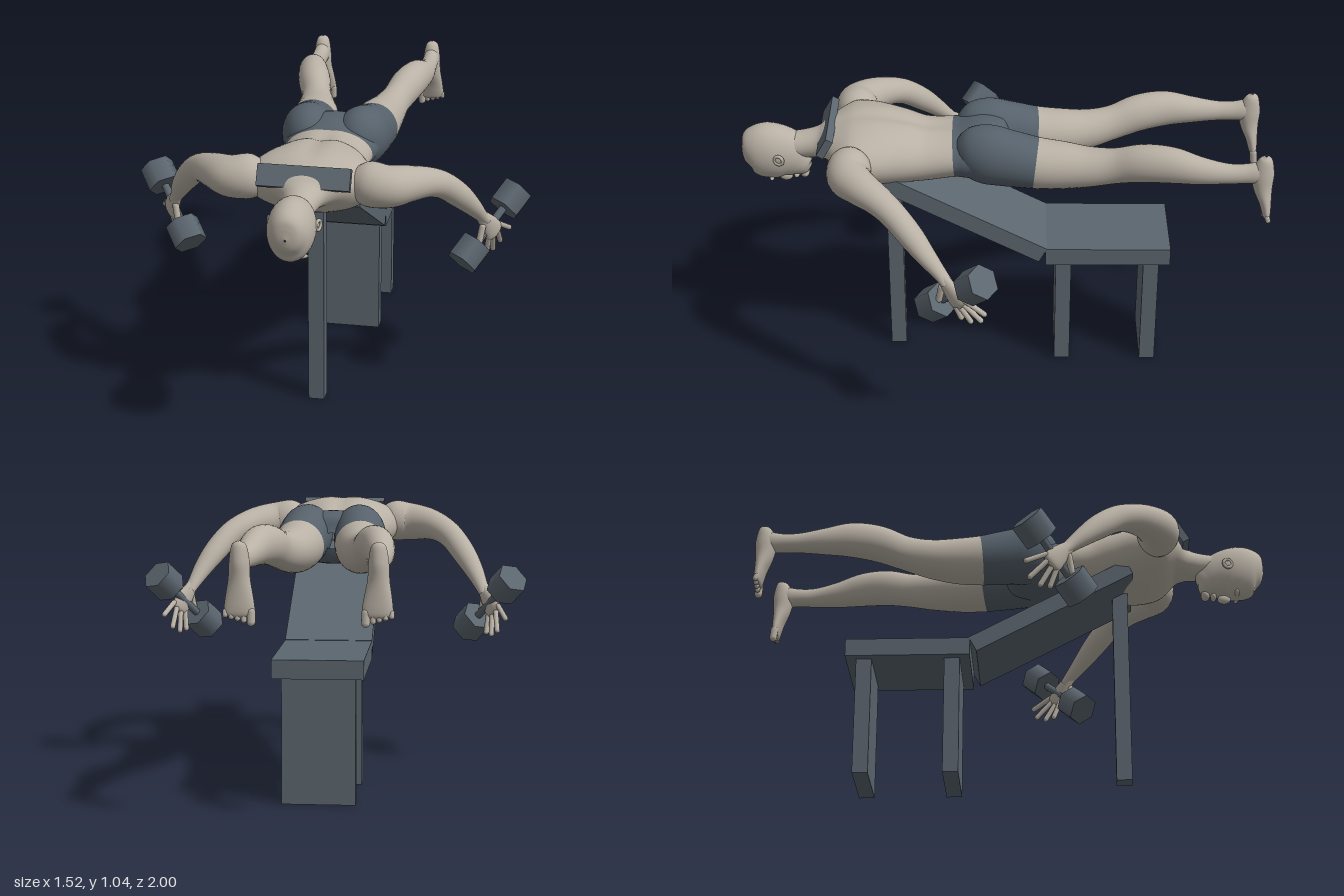
import * as THREE from 'three';

const skin = new THREE.MeshStandardMaterial({ name: 'skin', color: 0xb9b1a5 });
const shorts = new THREE.MeshStandardMaterial({ name: 'shortsCloth', color: 0x56616b });
const steel = new THREE.MeshStandardMaterial({ name: 'benchGrey', color: 0x5c666f });
const V = (x, y, z) => new THREE.Vector3(x, y, z);
const UP = V(0, 1, 0);

// Smooth loft through stations [x, y, z, halfWidth, halfHeight].
// split: station where the colour changes from mats[0] to mats[1].
function loft(name, stations, { up = UP, mats = [skin], split = 0, n = 32, sub = 5, side = 1 } = {}) {
  const path = new THREE.CatmullRomCurve3(stations.map(s => V(s[0] * side, s[1], s[2])), false, 'catmullrom', 0.5);
  const size = new THREE.CatmullRomCurve3(stations.map(s => V(s[3], s[4], 0)), false, 'catmullrom', 0.5);
  const rows = (stations.length - 1) * sub;
  const pos = [], idx = [];
  for (let i = 0; i <= rows; i++) {
    const c = path.getPoint(i / rows), r = size.getPoint(i / rows), t = path.getTangent(i / rows);
    const s = up.clone().cross(t).normalize(), u = t.clone().cross(s);
    for (let j = 0; j < n; j++) {
      const a = (j / n) * Math.PI * 2;
      const p = c.clone().addScaledVector(s, r.x * Math.cos(a)).addScaledVector(u, r.y * Math.sin(a));
      pos.push(p.x, p.y, p.z);
      if (i < rows) {
        const k = (j + 1) % n, A = i * n + j, B = i * n + k;
        idx.push(A, B, A + n, B, B + n, A + n);
      }
    }
  }
  const g = new THREE.BufferGeometry();
  g.setAttribute('position', new THREE.Float32BufferAttribute(pos, 3));
  g.setIndex(idx);
  if (split) {
    const cut = split * sub * n * 6;
    g.addGroup(0, cut, 0);
    g.addGroup(cut, idx.length - cut, 1);
  }
  g.computeVertexNormals();
  const m = new THREE.Mesh(g, split ? mats : mats[0]);
  m.name = name;
  return m;
}

function add(parent, name, geo, mat, x, y, z) {
  const m = new THREE.Mesh(geo, mat);
  m.name = name;
  m.position.set(x, y, z);
  parent.add(m);
  return m;
}

// Place a y-aligned geometry between two points
function between(parent, name, geo, mat, a, b) {
  const m = add(parent, name, geo, mat, (a.x + b.x) / 2, (a.y + b.y) / 2, (a.z + b.z) / 2);
  m.quaternion.setFromUnitVectors(UP, b.clone().sub(a).normalize());
  return m;
}
const rod = (parent, name, a, b, r) =>
  between(parent, name, new THREE.CapsuleGeometry(r, a.distanceTo(b), 4, 10), skin, a, b);

function blob(parent, name, x, y, z, rx, ry, rz) {
  add(parent, name, new THREE.SphereGeometry(1, 20, 14), skin, x, y, z).scale.set(rx, ry, rz);
}

function makeBench() {
  const g = new THREE.Group();
  g.name = 'bench';
  const box = (name, w, h, d, x, y, z) => add(g, name, new THREE.BoxGeometry(w, h, d), steel, x, y, z);
  box('seat', 0.334, 0.07, 0.48, 0, 0.505, -0.4);
  for (const z of [-0.23, -0.57]) box('seatLeg', 0.27, 0.47, 0.06, 0, 0.235, z);
  box('frontPost', 0.06, 0.82, 0.06, 0, 0.41, 0.425);
  box('inclinedBoard', 0.334, 0.066, 0.69, 0, 0.675, 0.155).rotation.x = -0.49;
  box('neckPlate', 0.334, 0.08, 0.03, 0, 0.985, 0.668).rotation.x = -0.52;
  return g;
}

function makeTorso() {
  const m = loft('torso', [
    [0, 0.91, -0.03, 0.04, 0.03], [0, 0.91, 0, 0.15, 0.085], [0, 0.915, 0.07, 0.192, 0.105],
    [0, 0.907, 0.14, 0.178, 0.098], [0, 0.904, 0.19, 0.166, 0.094], [0, 0.897, 0.3, 0.165, 0.107],
    [0, 0.908, 0.4, 0.195, 0.123], [0, 0.921, 0.5, 0.23, 0.124], [0, 0.932, 0.58, 0.235, 0.108],
    [0, 0.935, 0.64, 0.165, 0.078], [0, 0.925, 0.69, 0.088, 0.058], [0, 0.917, 0.74, 0.064, 0.053],
    [0, 0.91, 0.81, 0.055, 0.05],
  ], { mats: [shorts, skin], split: 4, n: 64 });
  // Spine groove
  const p = m.geometry.attributes.position;
  for (let i = 0; i < p.count; i++) {
    const x = p.getX(i), z = p.getZ(i);
    if (p.getY(i) > 0.95 && z > 0.15 && z < 0.64)
      p.setY(i, p.getY(i) - 0.014 * Math.exp(-((x / 0.035) ** 2)) * Math.sin(Math.PI * (z - 0.15) / 0.49));
  }
  m.geometry.computeVertexNormals();
  return m;
}

function makeHead() {
  const g = new THREE.Group();
  g.name = 'head';
  g.add(loft('skull', [
    [0, 0.885, 1.0, 0.003, 0.003], [0, 0.886, 0.99, 0.042, 0.052], [0, 0.89, 0.96, 0.069, 0.092],
    [0, 0.888, 0.92, 0.081, 0.111], [0, 0.881, 0.87, 0.083, 0.111], [0, 0.868, 0.82, 0.074, 0.099],
    [0, 0.845, 0.78, 0.06, 0.074], [0, 0.825, 0.753, 0.043, 0.045], [0, 0.82, 0.738, 0.004, 0.004],
  ]));
  blob(g, 'nose', 0, 0.772, 0.838, 0.014, 0.02, 0.026);
  blob(g, 'lips', 0, 0.781, 0.797, 0.024, 0.014, 0.012);
  blob(g, 'chin', 0, 0.79, 0.765, 0.026, 0.022, 0.018);
  for (const s of [1, -1]) {
    blob(g, 'brow', s * 0.03, 0.785, 0.888, 0.027, 0.011, 0.01);
    const ear = add(g, 'ear', new THREE.TorusGeometry(0.019, 0.007, 8, 20), skin, s * 0.086, 0.888, 0.852);
    ear.rotation.y = s * 1.25;
    ear.scale.set(0.9, 0.9, 1);
    blob(g, 'innerEar', s * 0.082, 0.888, 0.85, 0.007, 0.016, 0.018);
  }
  return g;
}

function makeLeg(side) {
  const g = new THREE.Group();
  g.name = side > 0 ? 'leftLeg' : 'rightLeg';
  g.add(loft('leg', [
    [0.085, 0.915, 0.185, 0.02, 0.02], [0.092, 0.924, 0.14, 0.075, 0.093], [0.102, 0.928, 0.07, 0.1, 0.116],
    [0.111, 0.915, -0.02, 0.1, 0.109], [0.118, 0.9, -0.12, 0.098, 0.098], [0.126, 0.895, -0.22, 0.09, 0.09],
    [0.142, 0.898, -0.32, 0.075, 0.077], [0.163, 0.915, -0.42, 0.06, 0.069], [0.19, 0.942, -0.52, 0.065, 0.073],
    [0.214, 0.948, -0.62, 0.06, 0.07], [0.23, 0.935, -0.72, 0.049, 0.054], [0.237, 0.926, -0.82, 0.036, 0.04],
    [0.237, 0.926, -0.89, 0.033, 0.038], [0.237, 0.93, -0.95, 0.03, 0.042], [0.237, 0.932, -0.98, 0.008, 0.015],
  ], { mats: [shorts, skin], split: 4, side }));
  g.add(loft('foot', [
    [0.237, 1.0, -0.965, 0.004, 0.004], [0.237, 0.985, -0.965, 0.025, 0.025], [0.237, 0.93, -0.957, 0.035, 0.042],
    [0.237, 0.87, -0.96, 0.038, 0.036], [0.236, 0.81, -0.972, 0.048, 0.024], [0.235, 0.77, -0.978, 0.053, 0.018],
    [0.235, 0.748, -0.98, 0.049, 0.013], [0.235, 0.738, -0.98, 0.01, 0.004],
  ], { up: V(0, 0, 1), side }));
  // Big toe on the inside
  for (let i = 0; i < 5; i++) {
    const x = side * (0.195 + i * 0.021 + (i ? 0.004 : 0)), r = i ? 0.01 : 0.015;
    rod(g, 'toe', V(x, 0.76, -0.98), V(x, 0.725 + i * 0.006, -0.983), r);
  }
  return g;
}

function makeArm(side) {
  const g = new THREE.Group();
  g.name = side > 0 ? 'leftArm' : 'rightArm';
  const P = (x, y, z) => V(side * x, y, z);
  g.add(loft('arm', [
    [0.13, 0.95, 0.55, 0.02, 0.02], [0.2, 0.942, 0.568, 0.075, 0.078], [0.28, 0.935, 0.572, 0.08, 0.077],
    [0.35, 0.932, 0.525, 0.068, 0.066], [0.41, 0.917, 0.46, 0.057, 0.055], [0.46, 0.885, 0.4, 0.05, 0.05],
    [0.51, 0.825, 0.335, 0.047, 0.046], [0.55, 0.765, 0.28, 0.038, 0.036], [0.58, 0.71, 0.23, 0.027, 0.025],
    [0.597, 0.68, 0.205, 0.025, 0.02],
  ], { side }));
  // Dumbbell with hexagonal heads
  const top = P(0.68, 0.73, 0.1), low = P(0.545, 0.56, 0.25), axis = top.clone().sub(low).normalize();
  const palmUp = P(0.25, -0.8, -0.5).cross(axis).normalize();
  g.add(loft('palm', [
    [0.578, 0.715, 0.235, 0.02, 0.018], [0.597, 0.68, 0.207, 0.03, 0.02], [0.618, 0.64, 0.178, 0.041, 0.019],
    [0.63, 0.612, 0.16, 0.038, 0.015], [0.635, 0.6, 0.152, 0.006, 0.004],
  ], { up: palmUp, side }));
  const bell = new THREE.Group();
  bell.name = 'dumbbell';
  g.add(bell);
  between(bell, 'handle', new THREE.CylinderGeometry(0.015, 0.015, 0.25, 16), steel, low, top);
  for (const c of [top, low])
    between(bell, 'weight', new THREE.CylinderGeometry(0.066, 0.066, 0.095, 6).toNonIndexed(), steel,
      c.clone().addScaledVector(axis, -0.05), c.clone().addScaledVector(axis, 0.05));
  // Fingers: knuckle, tip
  const fingers = [
    [[0.648, 0.64, 0.14], [0.676, 0.6, 0.07]], [[0.638, 0.622, 0.15], [0.645, 0.55, 0.083]],
    [[0.625, 0.608, 0.165], [0.622, 0.53, 0.12]], [[0.61, 0.6, 0.18], [0.602, 0.533, 0.155]],
    [[0.59, 0.66, 0.225], [0.58, 0.6, 0.235]],
  ];
  fingers.forEach(([a, b], i) => rod(g, i < 4 ? 'finger' : 'thumb', P(...a), P(...b), i < 4 ? 0.0105 : 0.013));
  return g;
}

export function createModel() {
  const model = new THREE.Group();
  model.name = 'proneDumbbellRaise';
  model.add(makeBench(), makeTorso(), makeHead());
  for (const side of [1, -1]) model.add(makeLeg(side), makeArm(side));
  return model;
}
